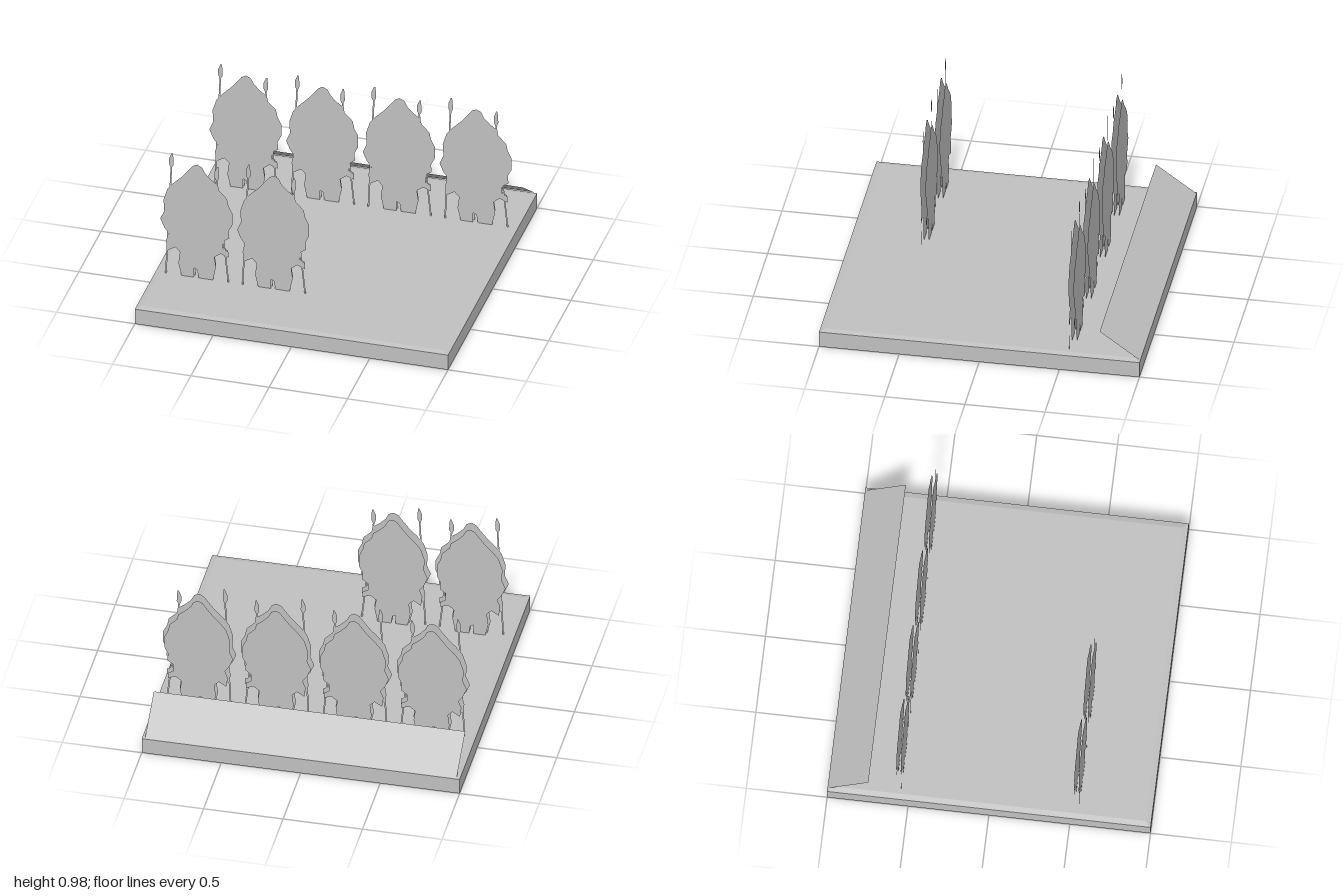
import * as THREE from 'three';

const stone = new THREE.MeshStandardMaterial({ color: 0xc0c0c0, side: THREE.DoubleSide });
stone.name = 'plain grey';

const toShape = (pts) => new THREE.Shape(pts.map(([x, y]) => new THREE.Vector2(x, y)));

function sheet(name, pts) {
  const mesh = new THREE.Mesh(new THREE.ShapeGeometry(toShape(pts)), stone);
  mesh.name = name;
  return mesh;
}

// Cloaked body with legs, as a cut-out standing on the base
const body = [
  [-0.03, 0.91], [0, 0.925], [0.03, 0.91], [0.05, 0.87], [0.09, 0.83], [0.13, 0.8], [0.14, 0.76],
  [0.19, 0.71], [0.2, 0.66], [0.225, 0.61], [0.225, 0.53], [0.2, 0.48], [0.205, 0.43], [0.165, 0.4],
  [0.165, 0.35], [0.2, 0.33], [0.2, 0.29], [0.15, 0.31], [0.11, 0.28], [0.12, 0.21], [0.1, 0.11],
  [0.01, 0.11], [0, 0.17], [-0.02, 0.18], [-0.02, 0.11], [-0.1, 0.11], [-0.12, 0.2], [-0.11, 0.28],
  [-0.14, 0.31], [-0.19, 0.28], [-0.2, 0.35], [-0.18, 0.4], [-0.21, 0.44], [-0.235, 0.5],
  [-0.21, 0.56], [-0.215, 0.64], [-0.19, 0.72], [-0.15, 0.77], [-0.1, 0.82], [-0.06, 0.87],
];

// Thin leaning spear with a wider blade
function spear(name, footX, tipX, tipY) {
  const w = 0.005, neck = tipY - 0.1, x = tipX - 0.005;
  return sheet(name, [
    [footX - w, 0.11], [footX + w, 0.11], [x + w, neck], [x + 0.015, neck + 0.02],
    [x + 0.014, neck + 0.06], [tipX + 0.005, tipY], [tipX - 0.003, tipY],
    [x - 0.014, neck + 0.06], [x - 0.014, neck + 0.02], [x - w, neck],
  ]);
}

function standingFigure() {
  const g = new THREE.Group();
  g.name = 'standingFigure';
  const back = sheet('backCloak', body);
  back.scale.set(0.94, 0.96, 1);
  back.position.set(0, 0.0044, -0.03);
  g.add(sheet('cloakedBody', body), back,
    spear('tallSpear', -0.2, -0.16, 0.98), spear('shortSpear', 0.2, 0.13, 0.93));
  return g;
}

// Low outline plates lying on the base
function lyingFigure() {
  const g = new THREE.Group();
  g.name = 'lyingFigure';
  const parts = [
    ['lyingBody', [[-0.18, -0.36], [0.14, -0.34], [0.2, -0.39], [0.17, -0.44], [0.2, -0.49],
      [0.17, -0.55], [0.1, -0.6], [0, -0.63], [-0.1, -0.61], [-0.18, -0.55], [-0.22, -0.48], [-0.21, -0.42]]],
    ['lyingFoot', [[-0.04, -0.75], [0, -0.75], [0, -0.72], [-0.03, -0.72]]],
    ['lyingFoot', [[0.01, -0.75], [0.06, -0.75], [0.06, -0.72], [0.02, -0.73]]],
  ];
  for (const [name, pts] of parts) {
    const m = sheet(name, pts);
    m.rotation.x = -Math.PI / 2;
    g.add(m);
  }
  return g;
}

export function createModel() {
  const model = new THREE.Group();
  model.name = 'figureDisplay';

  // Square base with a shallow bevelled top
  const base = new THREE.Mesh(new THREE.BoxGeometry(2, 0.105, 2), stone);
  base.name = 'base';
  base.position.y = 0.0525;
  const rimGeo = new THREE.CylinderGeometry(0.965 * Math.SQRT2, Math.SQRT2, 0.009, 4, 1).toNonIndexed();
  rimGeo.rotateY(Math.PI / 4);
  rimGeo.computeVertexNormals();
  const rim = new THREE.Mesh(rimGeo, stone);
  rim.name = 'bevelledTop';
  rim.position.y = 0.1095;
  model.add(base, rim);

  // Sloping panel along the back edge
  const rise = 0.18, run = 0.25;
  const panel = new THREE.Mesh(new THREE.PlaneGeometry(1.96, Math.hypot(rise, run)), stone);
  panel.name = 'slopingPanel';
  panel.rotation.set(Math.atan2(run, rise), 0, 0);
  panel.position.set(0, 0.2, -0.873);
  model.add(panel);

  // Rows of figures: four behind, two in front, two lying down
  [-0.73, -0.24, 0.25, 0.74].forEach((x, i) => {
    const rear = standingFigure();
    rear.position.set(x, 0, -0.55);
    const front = i < 2 ? standingFigure() : lyingFigure();
    front.position.set(x, i < 2 ? 0 : 0.116, i < 2 ? 0.55 : 0);
    model.add(rear, front);
  });
  return model;
}
